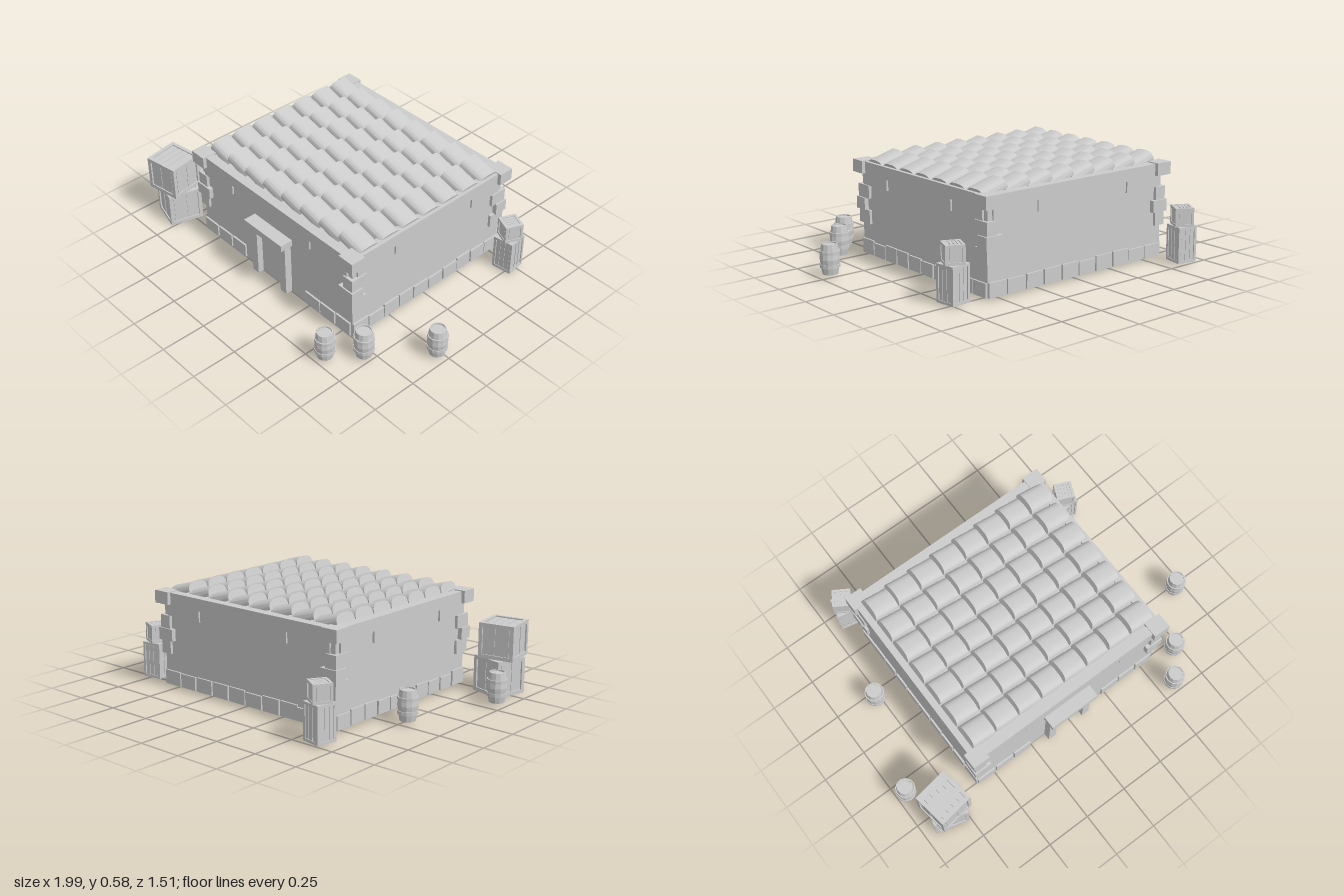
import * as THREE from 'three';
import { toCreasedNormals } from 'three/addons/utils/BufferGeometryUtils.js';

const stone = new THREE.MeshStandardMaterial({ color: 0xcccccc });
stone.name = 'plain grey';

const CX = -0.015, CZ = -0.025;   // centre of the house
const HX = 0.59, HZ = 0.53;       // half sizes of the walls
const FLOOR = 0.015;

let seed = 7;
const rand = () => (seed = (seed * 16807) % 2147483647) / 2147483647;

function group(name, parent, x = 0, y = 0, z = 0, turn = 0) {
  const g = new THREE.Group();
  g.name = name;
  g.position.set(x, y, z);
  g.rotation.y = turn;
  parent.add(g);
  return g;
}

function add(name, parent, geometry, x = 0, y = 0, z = 0) {
  const m = new THREE.Mesh(geometry, stone);
  m.name = name;
  m.position.set(x, y, z);
  parent.add(m);
  return m;
}

// Box given by its extents on each axis
function block(name, parent, x0, x1, y0, y1, z0, z1) {
  return add(name, parent, new THREE.BoxGeometry(x1 - x0, y1 - y0, z1 - z0),
    (x0 + x1) / 2, (y0 + y1) / 2, (z0 + z1) / 2);
}

// One wall's trim, built facing +z: h is half its length, d its distance out
function wallTrim(parent, turn, h, d, isFront) {
  const g = group('wallTrim', parent, 0, 0, 0, turn);
  block('parapet', g, -h - 0.022, h + 0.022, 0.457, 0.523, d - 0.035, d + 0.016);
  for (const [a, b] of [[-0.95, -0.55], [-0.47, 0.48], [0.56, 0.95]]) {
    block('frieze', g, a * h, b * h, 0.395, 0.457, d - 0.02, d + 0.01);
  }
  const n = 10, step = (2 * h) / n;
  for (let i = 0; i < n; i++) {
    const a = -h + i * step + 0.006 * rand();
    const b = -h + (i + 1) * step - 0.012 * rand();
    const top = 0.082 + 0.016 * rand();
    if (isFront && b > -0.14 && a < 0.13) continue;   // gap for the door
    block('baseStone', g, a, b, FLOOR, top, d - 0.02, d + 0.01);
  }
}

// Corner stones and cap; sx and sz choose the corner
function corner(parent, sx, sz) {
  const g = group('corner', parent, sx * HX, 0, sz * HZ);
  const piece = (name, inX, inZ, out, y0, y1) => add(name, g,
    new THREE.BoxGeometry(inX + out, y1 - y0, inZ + out),
    sx * (out - inX) / 2, (y0 + y1) / 2, sz * (out - inZ) / 2);
  piece('cap', 0.06, 0.05, 0.036, 0.46, 0.528);
  piece('cornerStone', 0.05, 0.08, 0.017, 0.325, 0.396);
  piece('cornerStone', 0.075, 0.05, 0.025, 0.26, 0.325);
  piece('cornerStone', 0.05, 0.08, 0.015, 0.185, 0.26);
}

function roofTiles(parent) {
  const g = group('roofTiles', parent);
  const a = 0.067, b = 0.05, length = 0.148, pts = [];
  for (let i = 0; i <= 20; i++) {
    const t = (i / 20) * Math.PI, c = Math.cos(t), s = Math.sin(t);
    pts.push(new THREE.Vector2(a * Math.sign(c) * Math.abs(c) ** 0.7, b * Math.abs(s) ** 0.7));
  }
  const geo = new THREE.ExtrudeGeometry(new THREE.Shape(pts), { depth: length, bevelEnabled: false });
  geo.translate(0, 0, -length / 2).rotateY(Math.PI / 2).rotateZ(-0.28);
  const tile = toCreasedNormals(geo, 0.7);
  for (let row = 0; row < 7; row++) {
    for (let col = 0; col < 8; col++) {
      add('roofTile', g, tile, 0.003 + (col - 3.5) * 0.1437, 0.511, -0.007 + (row - 3) * 0.1407);
    }
  }
}

function doorway(parent) {
  const g = group('doorway', parent, -0.008, 0, HZ);
  for (const s of [-1, 1]) {
    add('doorPost', g, new THREE.BoxGeometry(0.045, 0.31, 0.06), s * 0.113, FLOOR + 0.155, 0.01);
  }
  block('door', g, -0.092, 0.092, FLOOR, 0.325, -0.02, 0.006);
  block('lintel', g, -0.147, 0.147, 0.324, 0.361, -0.02, 0.073);
}

function house(parent) {
  const g = group('house', parent, CX, 0, CZ);
  block('walls', g, -HX, HX, FLOOR, 0.505, -HZ, HZ);
  wallTrim(g, 0, HX, HZ, true);
  wallTrim(g, Math.PI / 2, HZ, HX, false);
  wallTrim(g, Math.PI, HX, HZ, false);
  wallTrim(g, -Math.PI / 2, HZ, HX, false);
  for (const sx of [-1, 1]) for (const sz of [-1, 1]) corner(g, sx, sz);
  doorway(g);
  roofTiles(g);
}

// Faceted barrel with two hoops and a sunken lid
const lathe = (pts) => toCreasedNormals(
  new THREE.LatheGeometry(pts.map(([r, y]) => new THREE.Vector2(r, y)), 12), 0.2);
const barrelBody = lathe([[0, 0], [0.041, 0], [0.049, 0.045], [0.053, 0.08], [0.049, 0.115],
  [0.042, 0.16], [0.036, 0.16], [0.036, 0.152], [0, 0.152]]);
const hoop = lathe([[0.044, -0.009], [0.0535, -0.009], [0.0535, 0.009], [0.044, 0.009]]);

function barrel(parent, x, z, turn) {
  const g = group('barrel', parent, x, FLOOR + 0.002, z, turn);
  add('barrelBody', g, barrelBody);
  add('hoop', g, hoop, 0, 0.045, 0);
  add('hoop', g, hoop, 0, 0.115, 0);
}

// Framed crate: corner posts, rails, sunken panels and slats
function crate(parent, x, y, z, w, h, turn, bar, slats) {
  const g = group('crate', parent, x, y, z, turn);
  const r = w / 2, inset = bar * 0.45;
  block('panels', g, -r + inset, r - inset, 0.002, h - inset, -r + inset, r - inset);
  for (const sx of [-1, 1]) {
    for (const sz of [-1, 1]) {
      add('post', g, new THREE.BoxGeometry(bar, h, bar), sx * (r - bar / 2), h / 2, sz * (r - bar / 2));
    }
  }
  const inner = w - 2 * bar;
  for (const yy of [bar / 2, h - bar / 2]) {
    for (const s of [-1, 1]) {
      add('rail', g, new THREE.BoxGeometry(inner, bar, bar), 0, yy, s * (r - bar / 2));
      add('rail', g, new THREE.BoxGeometry(bar, bar, inner), s * (r - bar / 2), yy, 0);
    }
  }
  for (let side = 0; side < 4; side++) {
    const face = group('slats', g, 0, 0, 0, side * Math.PI / 2);
    for (let i = 0; i < slats; i++) {
      const step = inner / slats;
      add('slat', face, new THREE.BoxGeometry(step * 0.8, h - 2 * bar, 0.006),
        -inner / 2 + (i + 0.5) * step, h / 2, r - inset);
    }
  }
  for (let i = 0; i < 4; i++) {
    add('lidSlat', g, new THREE.BoxGeometry(inner * 0.2, 0.006, inner),
      (i - 1.5) * inner / 4, h - inset, 0);
  }
}

export function createModel() {
  const model = new THREE.Group();
  model.name = 'storehouse';
  house(model);

  const barrels = [[-0.773, -0.203], [-0.944, 0.326], [0.939, 0.273], [0.706, 0.548], [0.583, 0.695]];
  barrels.forEach(([x, z], i) => barrel(model, x, z, i * 0.4));

  // Large stack by the front
  crate(model, -0.827, 0, 0.525, 0.188, 0.195, -0.26, 0.02, 2);
  crate(model, -0.837, 0.195, 0.537, 0.196, 0.19, 0.16, 0.02, 2);
  // Narrow stacks by the back corners
  crate(model, -0.628, 0.01, -0.695, 0.112, 0.195, -0.2, 0.014, 3);
  crate(model, -0.628, 0.205, -0.695, 0.1, 0.1, -0.55, 0.014, 1);
  crate(model, 0.725, 0.01, -0.48, 0.114, 0.195, 0.12, 0.014, 3);
  crate(model, 0.725, 0.205, -0.48, 0.1, 0.1, -0.4, 0.014, 1);
  return model;
}
